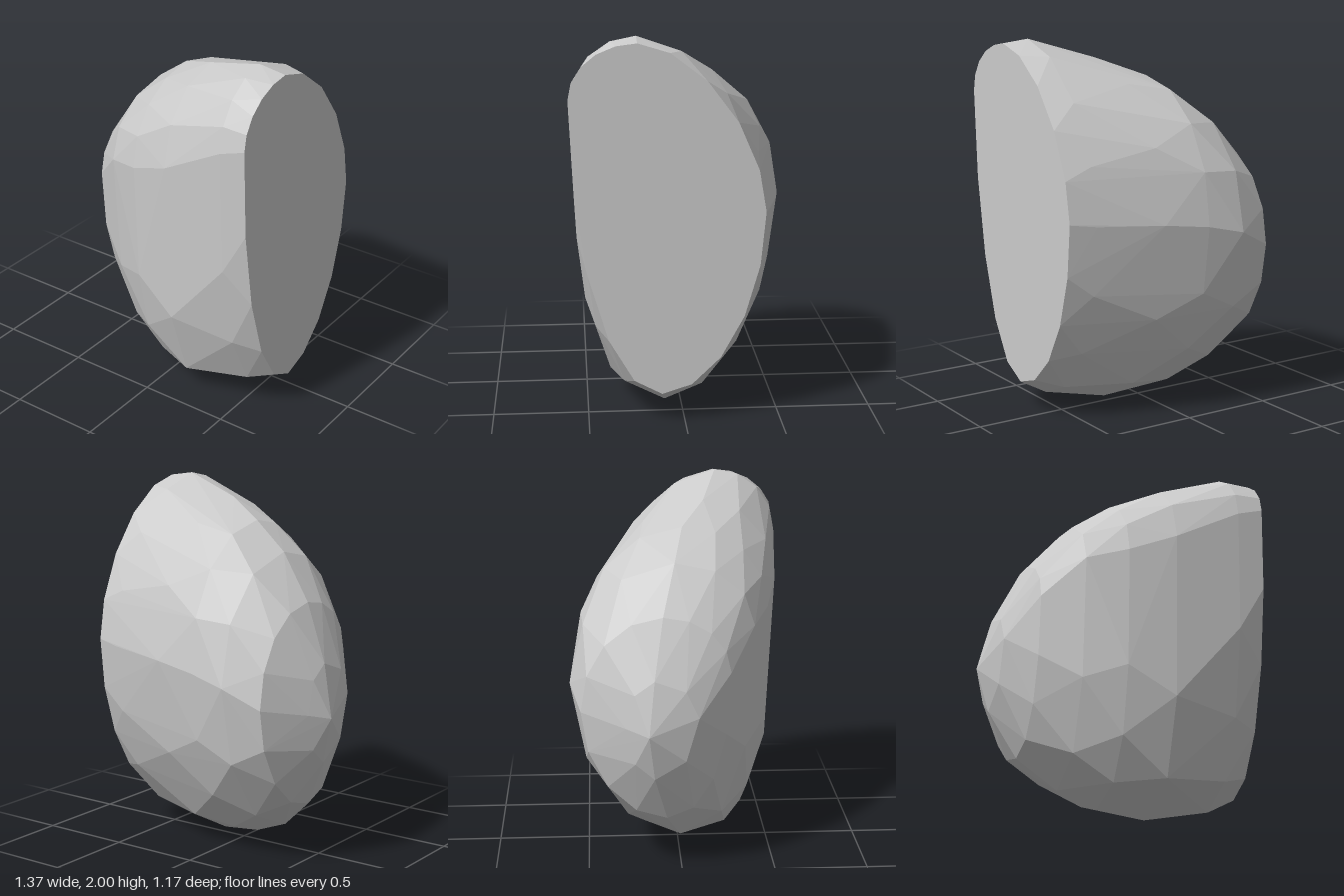
import * as THREE from 'three';
import { ConvexGeometry } from 'three/addons/geometries/ConvexGeometry.js';

// Cross-sections along x: top, front, bottom and back extremes as [z, y],
// then the roundness of the lower-front and upper-back quarters.
const SECTIONS = [
  { x: 0.685, top: [0.24, 1.98], front: [0.585, 1.7], bottom: [0.12, 0.16], back: [-0.41, 1.12], lowFront: 2, upBack: 1.7 },
  { x: 0.54, top: [0.24, 2.0], front: [0.582, 1.65], bottom: [0.1, 0.08], back: [-0.445, 1.1], lowFront: 2.3, upBack: 1.75 },
  { x: 0.18, top: [0.15, 1.89], front: [0.55, 1.45], bottom: [0.07, 0], back: [-0.53, 1.08], lowFront: 3, upBack: 1.9 },
  { x: -0.07, top: [0.02, 1.79], front: [0.485, 1.35], bottom: [0.03, 0.04], back: [-0.57, 1.05], lowFront: 2.8, upBack: 2 },
  { x: -0.28, top: [-0.03, 1.64], front: [0.395, 1.3], bottom: [0, 0.125], back: [-0.588, 1.0], lowFront: 2.5, upBack: 2 },
  { x: -0.48, top: [-0.1, 1.4], front: [0.255, 1.1], bottom: [-0.08, 0.3], back: [-0.53, 0.9], lowFront: 2.2, upBack: 2 },
  { x: -0.62, top: [-0.15, 1.1], front: [0.08, 0.9], bottom: [-0.15, 0.57], back: [-0.295, 0.85], lowFront: 2, upBack: 2 },
];

// Quarter superellipse from a vertical extreme (top or bottom) to a side extreme
function quarter(x, vertical, side, power, steps) {
  const points = [];
  for (let i = 0; i <= steps; i++) {
    const a = (i / steps) * Math.PI / 2;
    const s = Math.pow(Math.max(Math.sin(a), 0), 2 / power);
    const c = Math.pow(Math.max(Math.cos(a), 0), 2 / power);
    points.push(new THREE.Vector3(
      x,
      side[1] + (vertical[1] - side[1]) * c,
      vertical[0] + (side[0] - vertical[0]) * s,
    ));
  }
  return points;
}

export function createModel() {
  const group = new THREE.Group();
  group.name = 'cutRock';

  // Rounded tip opposite the flat cut
  const points = [new THREE.Vector3(-0.685, 0.82, -0.18)];

  // Alternate the corner count so the facets stagger from ring to ring
  SECTIONS.forEach((s, i) => {
    const steps = i === 0 ? 5 : i === SECTIONS.length - 1 ? 2 : 3 + (i % 2);
    points.push(
      ...quarter(s.x, s.top, s.front, 2, steps),
      ...quarter(s.x, s.bottom, s.front, s.lowFront, steps),
      ...quarter(s.x, s.bottom, s.back, 1.9, steps),
      ...quarter(s.x, s.top, s.back, s.upBack, steps),
    );
  });

  // Faceted stone with a planar cut face on its left
  const rock = new THREE.Mesh(
    new ConvexGeometry(points),
    new THREE.MeshStandardMaterial({ color: 0xcccccc, flatShading: true }),
  );
  rock.name = 'rock';
  group.add(rock);
  return group;
}
